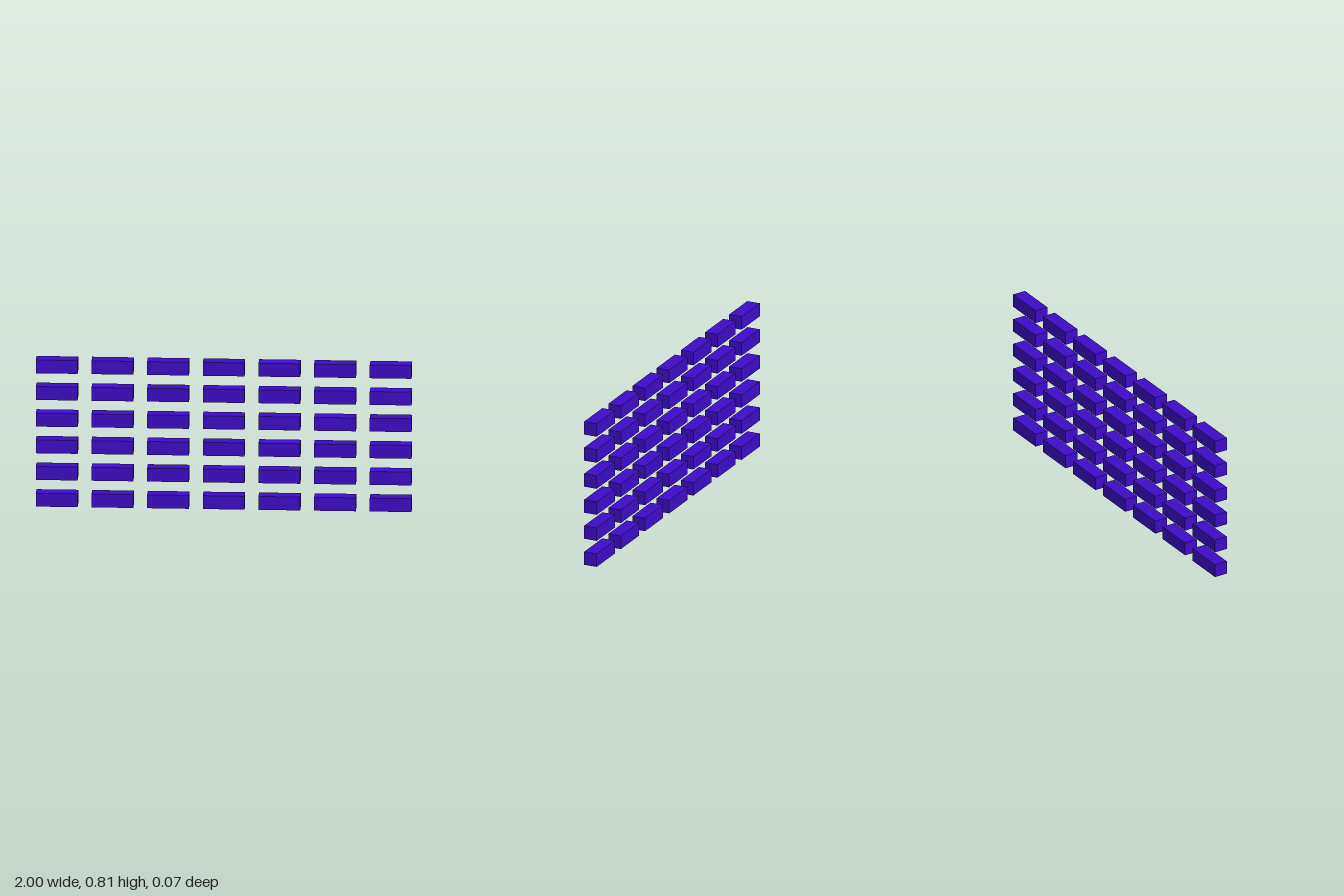
import * as THREE from 'three';

export function createModel() {
  const group = new THREE.Group();
  group.name = 'brickGrid';

  // Everything sits on a 27 x 11 module grid: bricks are 3 x 1 x 1, gaps are 1
  const unit = 2 / 27;
  const columns = 7, rows = 6;
  const geometry = new THREE.BoxGeometry(3 * unit, unit, unit);
  const material = new THREE.MeshStandardMaterial({ color: 0x3d0cc8 });

  for (let row = 0; row < rows; row++) {
    const course = new THREE.Group();
    course.name = `course${row + 1}`;
    course.position.y = (2 * row + 0.5) * unit;
    for (let col = 0; col < columns; col++) {
      const brick = new THREE.Mesh(geometry, material);
      brick.name = `brick${col + 1}`;
      brick.position.x = (col - (columns - 1) / 2) * 4 * unit;
      course.add(brick);
    }
    group.add(course);
  }
  return group;
}
